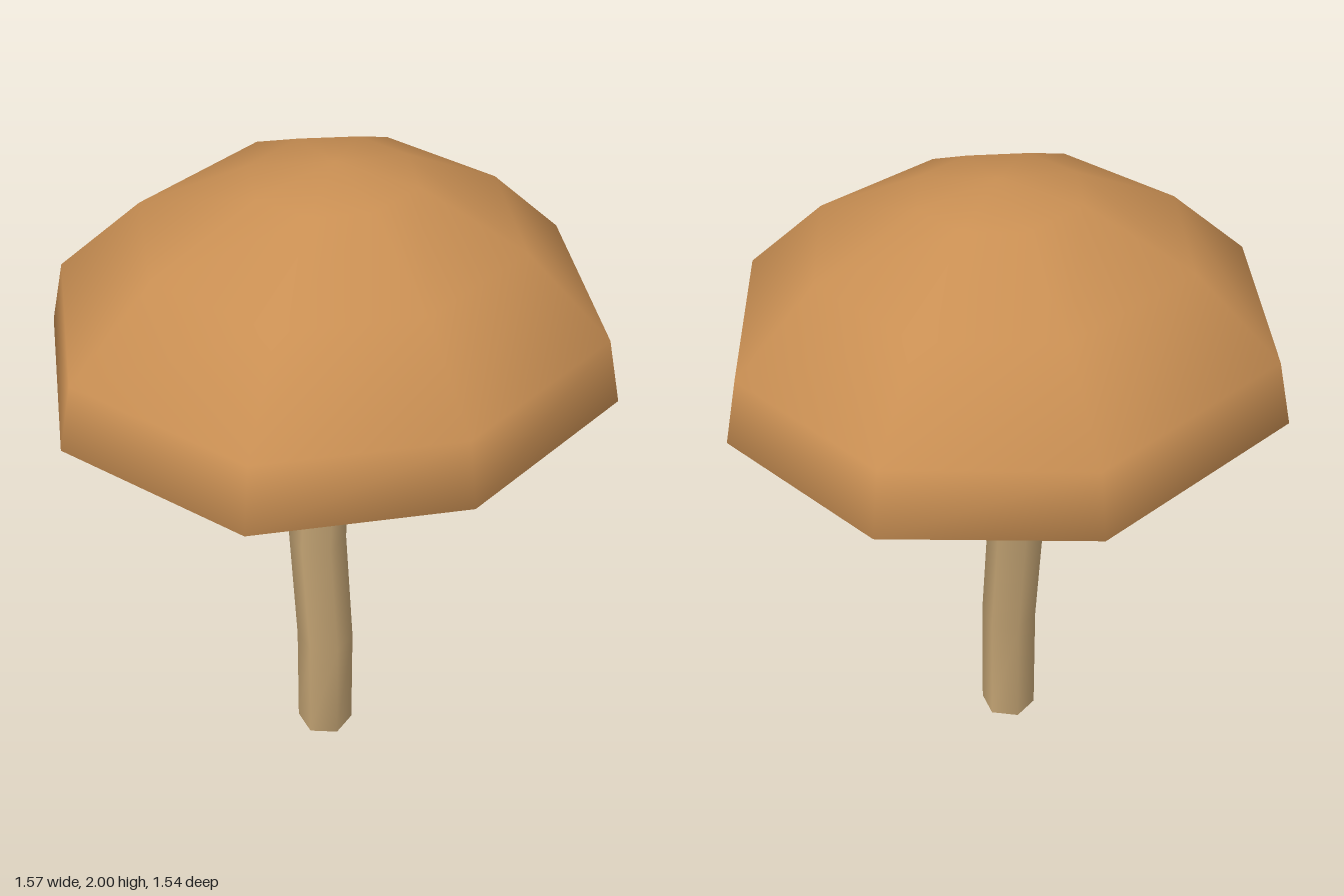
import * as THREE from 'three';
import { mergeVertices } from 'three/addons/utils/BufferGeometryUtils.js';

const material = (name, color) => {
  const m = new THREE.MeshStandardMaterial({ color });
  m.name = name;
  return m;
};

// Skins a stack of equal-sided rings (arrays of [x, y, z]), with shared smooth normals.
function loft(rings) {
  const n = rings[0].length;
  const index = [];
  for (let i = 0; i < rings.length - 1; i++) {
    for (let j = 0; j < n; j++) {
      const a = i * n + j, b = i * n + (j + 1) % n;
      index.push(a, a + n, b, b, a + n, b + n);
    }
  }
  let geometry = new THREE.BufferGeometry();
  geometry.setAttribute('position', new THREE.Float32BufferAttribute(rings.flat(2), 3));
  geometry.setIndex(index);
  geometry = mergeVertices(geometry);
  geometry.computeVertexNormals();
  return geometry;
}

export function createModel() {
  const capBrown = material('cap brown', 0xc98f53);
  const stemTan = material('stem tan', 0xbfa071);
  const group = new THREE.Group();
  group.name = 'mushroom';

  // Cap: an uneven octagon scaled along a profile, from the hollow underside over the rim to the tip
  const rim = [[-0.17, -0.775], [0.41, -0.7], [0.78, -0.25], [0.73, 0.4],
    [0.22, 0.77], [-0.37, 0.755], [-0.785, 0.31], [-0.75, -0.335]];
  const profile = [[0, 1.5], [0.12, 1.49], [0.55, 1.46], [0.88, 1.362], // underside
    [1, 1.39], [0.95, 1.58], [0.655, 1.81], [0.285, 1.96], [0, 2]]; // top
  const centre = 0.015;
  const capGeometry = loft(profile.map(([s, y]) => rim.map(([x, z]) =>
    [centre + (x - centre) * s, y, centre + (z - centre) * s])));
  const undersideCount = 4 * rim.length * 6;
  capGeometry.addGroup(0, undersideCount, 0);
  capGeometry.addGroup(undersideCount, capGeometry.index.count - undersideCount, 1);
  const cap = new THREE.Mesh(capGeometry, [stemTan, capBrown]);
  cap.name = 'cap';
  group.add(cap);

  // Stem: six-sided tube following a gently bent line
  const radius = 0.087, sides = 6, turn = Math.PI / 12;
  const spine = [[-0.025, 0, 0.08], [-0.028, 0.38, 0.095], [-0.043, 0.76, 0.057],
    [-0.03, 1.12, 0.04], [-0.008, 1.36, 0.025], [0.005, 1.5, 0.015]];
  const stem = new THREE.Mesh(loft(spine.map(([x, y, z]) =>
    Array.from({ length: sides }, (_, j) => {
      const a = turn + j / sides * Math.PI * 2;
      return [x + Math.cos(a) * radius, y, z + Math.sin(a) * radius];
    }))), stemTan);
  stem.name = 'stem';
  group.add(stem);

  // Flat cut at the foot of the stem
  const foot = new THREE.Mesh(
    new THREE.CircleGeometry(radius, sides, turn).rotateX(Math.PI / 2), stemTan);
  foot.position.set(...spine[0]);
  foot.name = 'stemFoot';
  group.add(foot);

  return group;
}
